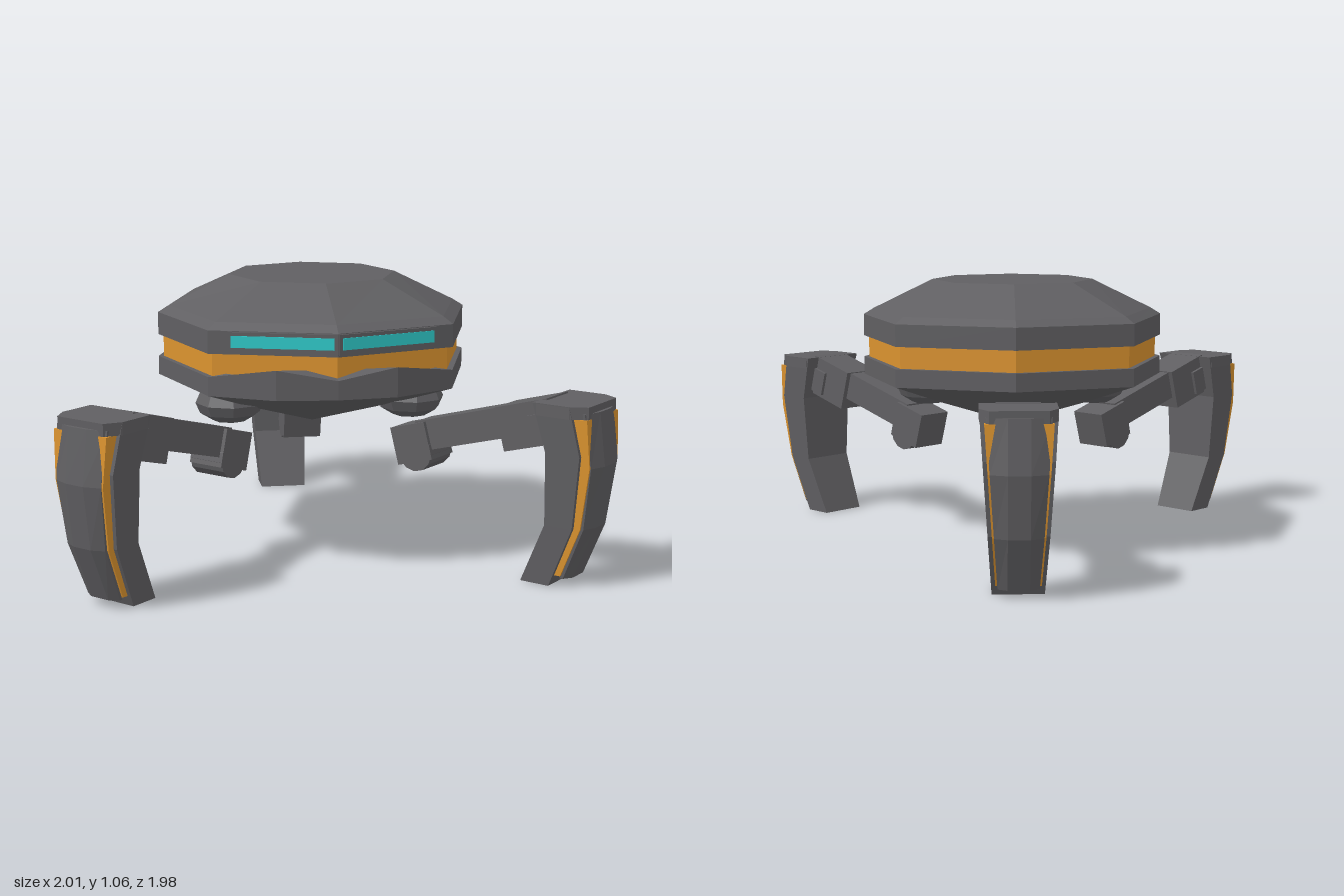
import * as THREE from 'three';

const mat = (name, color) => {
  const m = new THREE.MeshStandardMaterial({ color });
  m.name = name;
  return m;
};

// Closed, faceted skin over horizontal rings of [x, y, z], listed bottom to top
function loft(rings) {
  const pos = [];
  const tri = (...pts) => pts.forEach((p) => pos.push(...p));
  const n = rings[0].length;
  const centre = (r) => [0, 1, 2].map((k) => r.reduce((s, p) => s + p[k], 0) / n);
  const bottom = rings[0], top = rings[rings.length - 1];
  const cb = centre(bottom), ct = centre(top);
  for (let j = 0; j < n; j++) {
    const k = (j + 1) % n;
    for (let i = 0; i + 1 < rings.length; i++) {
      const a = rings[i], b = rings[i + 1];
      tri(a[j], b[j], a[k]);
      tri(a[k], b[j], b[k]);
    }
    tri(cb, bottom[j], bottom[k]);
    tri(ct, top[k], top[j]);
  }
  const g = new THREE.BufferGeometry();
  g.setAttribute('position', new THREE.Float32BufferAttribute(pos, 3));
  g.computeVertexNormals();
  return g;
}

// Eight-sided hull ring: axis reach, diagonal reach, height
function hullRing(axis, diag, y) {
  const a = axis, d = diag;
  return [[a, 0], [d, d], [0, a], [-d, d], [-a, 0], [-d, -d], [0, -a], [d, -d]]
    .map(([x, z]) => [x, y, z + 0.125]);
}

export function createModel() {
  const model = new THREE.Group();
  model.name = 'walker';
  const grey = mat('gunmetal grey', 0x605f62);
  const orange = mat('amber orange', 0xdb932f);
  const teal = mat('visor teal', 0x2fcaca);

  const add = (parent, name, geometry, material, x = 0, y = 0, z = 0) => {
    const m = new THREE.Mesh(geometry, material);
    m.name = name;
    m.position.set(x, y, z);
    parent.add(m);
    return m;
  };

  // Hull: lower dish, recessed band, upper shell
  add(model, 'lowerHull', loft([
    hullRing(0.001, 0.001, 0.48), hullRing(0.38, 0.28, 0.6),
    hullRing(0.595, 0.45, 0.68), hullRing(0.595, 0.45, 0.75),
  ]), grey);
  add(model, 'hullBand', loft([hullRing(0.575, 0.433, 0.74), hullRing(0.575, 0.433, 0.84)]), orange);
  add(model, 'upperHull', loft([
    hullRing(0.595, 0.45, 0.835), hullRing(0.595, 0.45, 0.92),
    hullRing(0.555, 0.42, 0.945), hullRing(0.32, 0.23, 1.06),
  ]), grey);

  // Chin guard with two raised points
  const chin = [
    [0.45, 0.575, 0.75], [0.22, 0.7, 0.79], [0, 0.722, 0.75],
    [-0.22, 0.7, 0.79], [-0.45, 0.575, 0.75], [-0.2, 0.57, 0.79], [0.2, 0.57, 0.79],
  ];
  add(model, 'chinGuard', loft([
    chin.map(([x, z]) => [x, 0.68, z]),
    chin.map(([x, z, y]) => [x, y, z]),
  ]), grey);

  // Visor: one framed strip on each front face
  for (const s of [-1, 1]) {
    const visor = new THREE.Group();
    visor.name = s > 0 ? 'leftVisor' : 'rightVisor';
    visor.position.set(s * 0.19, 0.88, 0.659);
    visor.rotation.y = s * 0.311;
    add(visor, 'visorFrame', new THREE.BoxGeometry(0.4, 0.075, 0.02), grey);
    add(visor, 'visorGlass', new THREE.BoxGeometry(0.373, 0.043, 0.008), teal, 0, 0.003, 0.009);
    model.add(visor);
  }

  // Leg, built in a plane: z is the distance out from the hip
  const legWidth = (y) => 0.095 + 0.065 * y;
  const slab = (rows, inset) => loft(rows.map(([y, zIn, zOut]) => {
    const w = legWidth(y) - inset;
    return [[w, y, zIn], [w, y, zOut], [-w, y, zOut], [-w, y, zIn]];
  }));
  const ridged = (rows, inset) => loft(rows.map(([y, zIn, zOut]) => {
    const w = legWidth(y) - inset;
    return [[w, y, zIn], [w, y, zOut - 0.022], [0.04, y, zOut],
      [-0.04, y, zOut], [-w, y, zOut - 0.022], [-w, y, zIn]];
  }));
  const coreGeo = slab([[0, 0.55, 0.665], [0.23, 0.65, 0.76], [0.5, 0.655, 0.79], [0.68, 0.605, 0.75]], 0);
  const headGeo = loft([0.635, 0.68].map((y) => [
    [0.139, y, 0.62], [0.139, y, 0.75], [0.105, y, 0.81],
    [-0.105, y, 0.81], [-0.139, y, 0.75], [-0.139, y, 0.62],
  ]));
  const stripGeo = slab([[0.04, 0.64, 0.705], [0.23, 0.72, 0.785], [0.46, 0.75, 0.822], [0.635, 0.72, 0.812]], 0.015);
  const armourGeo = ridged([[0.03, 0.7, 0.735], [0.23, 0.78, 0.817], [0.46, 0.817, 0.847], [0.655, 0.79, 0.822]], 0.022);
  const tilt = -Math.atan2(0.095, 0.34);

  function addLeg(name, x, z, turn, hipY) {
    const leg = new THREE.Group();
    leg.name = name;
    leg.position.set(x, 0, z);
    leg.rotation.y = turn;
    const ball = new THREE.SphereGeometry(0.13, 8, 6).toNonIndexed();
    ball.scale(1, 0.6, 1);
    ball.computeVertexNormals();
    add(leg, 'hipDome', ball, grey, 0, hipY, 0);
    const beam = (part, w, h, l, y, d) => {
      add(leg, part, new THREE.BoxGeometry(w, h, l), grey, 0, y, d).rotation.x = tilt;
    };
    beam('knuckle', 0.15, 0.145, 0.155, 0.44, 0.055);
    beam('arm', 0.12, 0.115, 0.42, 0.525, 0.28);
    beam('armSleeve', 0.16, 0.165, 0.22, 0.577, 0.545);
    beam('armCollar', 0.185, 0.1, 0.07, 0.575, 0.6);
    const pin = new THREE.CylinderGeometry(0.073, 0.073, 0.15, 12).toNonIndexed();
    pin.rotateZ(Math.PI / 2);
    pin.computeVertexNormals();
    add(leg, 'jointPin', pin, grey, 0, 0.408, 0.072);
    add(leg, 'shin', coreGeo, grey);
    add(leg, 'shinHead', headGeo, grey);
    add(leg, 'shinStripe', stripGeo, orange);
    add(leg, 'shinArmour', armourGeo, grey);
    model.add(leg);
  }
  addLeg('leftFrontLeg', 0.345, 0.33, Math.PI / 4, 0.605);
  addLeg('rightFrontLeg', -0.345, 0.33, -Math.PI / 4, 0.605);
  addLeg('rearLeg', 0, -0.14, Math.PI, 0.57);

  return model;
}
